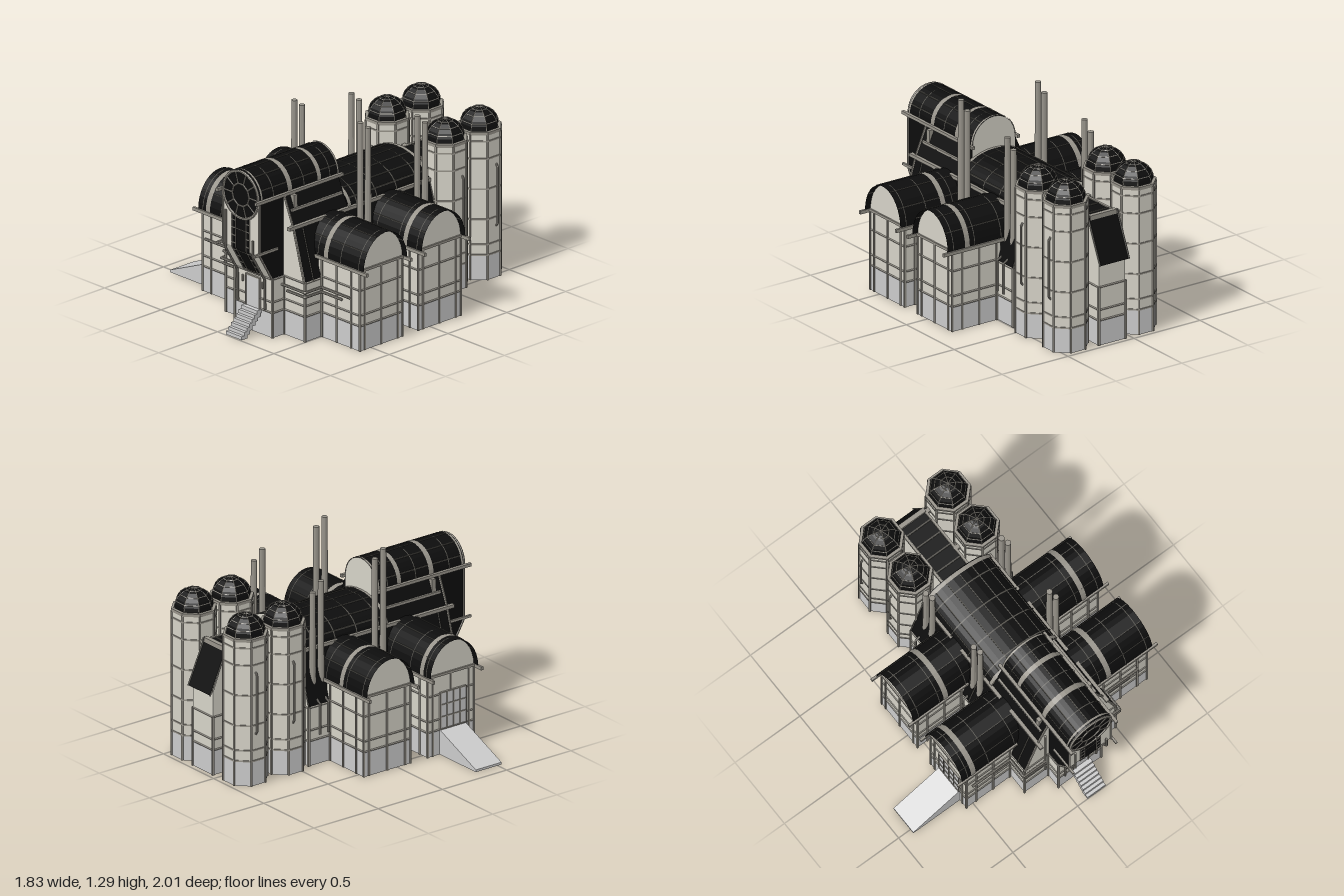
import * as THREE from 'three';

const mat = (color) => new THREE.MeshStandardMaterial({ color, side: THREE.DoubleSide, flatShading: true });

export function createModel() {
  const model = new THREE.Group();
  const root = new THREE.Group();
  root.name = 'factory';
  root.position.x = 0.145;
  model.add(root);
  const base = mat(0xcccccc), wall = mat(0xd6d3c8), trim = mat(0x97938a), black = mat(0x0d0d0d), seam = mat(0x55534d);
  const SIDES = [-1, 1];

  // ---- helpers ----
  const add = (name, geo, m, x = 0, y = 0, z = 0, parent = root) => {
    const o = new THREE.Mesh(geo, m);
    o.name = name;
    o.position.set(x, y, z);
    parent.add(o);
    return o;
  };
  const box = (name, w, h, d, x, y, z, m = trim) => add(name, new THREE.BoxGeometry(w, h, d), m, x, y, z);
  // ribbon of quads between two lines of [x, y, z] points
  const sheet = (name, a, b, m) => {
    const p = [];
    for (let i = 0; i < a.length - 1; i++) p.push(...a[i], ...a[i + 1], ...b[i + 1], ...a[i], ...b[i + 1], ...b[i]);
    const g = new THREE.BufferGeometry();
    g.setAttribute('position', new THREE.Float32BufferAttribute(p, 3));
    g.computeVertexNormals();
    return add(name, g, m);
  };
  const alongZ = (name, path, z0, z1, m) => sheet(name, path.map(([x, y]) => [x, y, z0]), path.map(([x, y]) => [x, y, z1]), m);
  const alongX = (name, path, x0, x1, m) => sheet(name, path.map(([z, y]) => [x0, y, z]), path.map(([z, y]) => [x1, y, z]), m);
  const upright = (name, plan, y0, y1, m) => sheet(name, plan.map(([x, z]) => [x, y0, z]), plan.map(([x, z]) => [x, y1, z]), m);
  const gable = (name, path, y, z, m) => sheet(name, path.map(([x]) => [x, y, z]), path.map(([x, h]) => [x, h, z]), m);
  const arc = (half, rise, y0, c = 0, n = 16) => Array.from({ length: n + 1 }, (_, i) => {
    const t = Math.PI * (1 - i / n);
    return [c + half * Math.cos(t), y0 + rise * Math.sin(t)];
  });
  // round bar through points, with ball joints at bends
  const pipe = (name, pts, r, m = trim, sides = 8) => {
    const v = pts.map((p) => new THREE.Vector3(...p));
    for (let i = 0; i < v.length - 1; i++) {
      const d = v[i + 1].clone().sub(v[i]);
      const o = add(name, new THREE.CylinderGeometry(r, r, d.length(), sides), m);
      o.position.copy(v[i]).addScaledVector(d, 0.5);
      o.quaternion.setFromUnitVectors(new THREE.Vector3(0, 1, 0), d.normalize());
      if (i) add(name + 'Bend', new THREE.SphereGeometry(r, sides, 6), m, ...pts[i]);
    }
  };

  // ---- central block ----
  const half = [[0.1, -0.97], [0.1, -0.42], [0.35, -0.42], [0.35, 0.73], [0.165, 0.73], [0.165, 0.83]];
  const plan = [...half, ...half.map(([x, z]) => [-x, z]).reverse(), half[0]];
  upright('foundation', plan, 0, 0.165, base);
  upright('centralWall', plan, 0.165, 0.39, wall);
  for (const y of [0.165, 0.235, 0.385]) {
    const o = plan.map(([x, z]) => [x, y, z]);
    pipe('wallBand', o, 0.006, trim, 4);
  }
  for (const [x, z] of plan.slice(1)) box('cornerPost', 0.014, 0.39, 0.014, x, 0.195, z);
  for (const s of SIDES) {
    alongZ('slopedRoof', [[s * 0.35, 0.39], [s * 0.25, 0.73]], -0.42, 0.73, black);
    alongZ('upperSlope', [[s * 0.25, 0.73], [s * 0.165, 0.92]], 0.27, 0.73, black);
    pipe('gableEdge', [[s * 0.35, 0.38, 0.735], [s * 0.25, 0.73, 0.735], [s * 0.17, 0.92, 0.735]], 0.008, trim, 6);
    box('eavesBeam', 0.025, 0.022, 1.2, s * 0.255, 0.73, 0.18);
    box('upperBeam', 0.015, 0.015, 0.43, s * 0.21, 0.825, 0.5);
    for (const z of [-0.42, 0.165, 0.66])
      pipe('slopeRib', [[s * 0.352, 0.39, z], [s * 0.252, 0.73, z]], 0.005, seam, 4);
  }
  const hallArc = arc(0.25, 0.15, 0.73);
  const shoulders = [[-0.35, 0.39], [-0.25, 0.73], [-0.165, 0.92], [0.165, 0.92], [0.25, 0.73], [0.35, 0.39]];
  gable('frontGable', shoulders, 0.39, 0.73, wall);
  gable('rearGable', [[-0.35, 0.39], ...hallArc, [0.35, 0.39]], 0.39, -0.42, wall);
  gable('shoulderBack', shoulders.slice(1, -1), 0.73, 0.27, black);

  // ---- barrel roof of the hall ----
  alongZ('hallRoof', hallArc, -0.42, 0.27, black);
  for (const z of [-0.4, -0.31, -0.14, 0.03, 0.2, 0.26]) {
    const w = z === -0.4 || z === 0.26 ? 0.025 : 0.008;
    alongZ('hallRib', arc(0.256, 0.156, 0.73), z - w / 2, z + w / 2, w > 0.02 ? trim : seam);
  }
  for (let i = 2; i < 16; i += 2) box('hallPurlin', 0.006, 0.008, 0.68, hallArc[i][0], hallArc[i][1], -0.075, seam);

  // ---- front nose ----
  const face = [[0.83, 0.39], [0.935, 0.57], [0.935, 0.93]];
  alongX('noseFront', face, -0.16, 0.16, wall);
  const noseArc = arc(0.16, 0.16, 0.93);
  alongZ('noseRoof', noseArc, 0.265, 0.935, black);
  gable('noseBack', noseArc, 0.73, 0.265, wall);
  for (const s of SIDES) {
    const low = [[0.27, 0.73], [0.72, 0.39], [0.83, 0.39], [0.935, 0.57]];
    sheet('noseSide', low.map(([z, y]) => [s * 0.16, y, z]), low.map(([z]) => [s * 0.16, 0.93, z]), black);
    box('noseRail', 0.02, 0.02, 0.74, s * 0.172, 0.925, 0.61);
    box('noseLowRail', 0.014, 0.016, 0.2, s * 0.165, 0.58, 0.885);
    box('noseLamp', 0.03, 0.09, 0.03, s * 0.19, 0.87, 0.67);
    pipe('noseEdge', [[s * 0.16, 0.39, 0.832], [s * 0.16, 0.57, 0.937], [s * 0.16, 0.93, 0.937]], 0.007, trim, 6);
  }
  for (const [z, w] of [[0.92, 0.012], [0.82, 0.006], [0.68, 0.035], [0.56, 0.006], [0.43, 0.03], [0.34, 0.006], [0.27, 0.012]])
    alongZ('noseRib', arc(0.165, 0.165, 0.93), z - w / 2, z + w / 2, w > 0.01 ? trim : seam);
  for (const i of [2, 5, 8, 11, 14]) box('nosePurlin', 0.006, 0.006, 0.66, ...noseArc[i], 0.6, seam);

  // ---- round window and tall glazing ----
  add('roundWindow', new THREE.CircleGeometry(0.16, 32), black, 0, 0.93, 0.94);
  add('windowRim', new THREE.TorusGeometry(0.154, 0.009, 6, 32), trim, 0, 0.93, 0.94);
  add('windowHub', new THREE.TorusGeometry(0.075, 0.006, 6, 10), trim, 0, 0.93, 0.942);
  for (let i = 0; i < 10; i++) {
    const c = Math.cos(i * Math.PI / 5), s = Math.sin(i * Math.PI / 5);
    pipe('windowSpoke', [[c * 0.075, 0.93 + s * 0.075, 0.942], [c * 0.154, 0.93 + s * 0.154, 0.942]], 0.005, trim, 5);
  }
  const glass = [[0.836, 0.39], [0.941, 0.57], [0.941, 0.8]];
  alongX('tallGlazing', glass, -0.075, 0.075, black);
  for (const x of [-0.077, -0.045, 0.045, 0.077]) pipe('mullion', glass.map(([z, y]) => [x, y, z]), 0.004, trim, 4);
  for (let i = 0; i < 8; i++) {
    const y = 0.4 + i * 0.05, z = y < 0.57 ? 0.836 + (y - 0.39) * 0.583 : 0.941;
    for (const s of SIDES) box('glazingBar', 0.032, 0.006, 0.008, s * 0.061, y, z);
    if (i % 3 === 0) box('glazingBar', 0.09, 0.005, 0.006, 0, y, z, seam);
  }

  // ---- entrance ----
  box('door', 0.11, 0.2, 0.012, 0, 0.26, 0.834, base);
  for (const s of SIDES) {
    box('doorFrame', 0.008, 0.21, 0.018, s * 0.058, 0.265, 0.835);
    add('wallLamp', new THREE.CapsuleGeometry(0.008, 0.03, 4, 8), trim, s * 0.088, 0.33, 0.84);
  }
  box('doorLintel', 0.124, 0.008, 0.018, 0, 0.366, 0.835);
  for (let i = 0; i < 7; i++) box('step', 0.14, 0.023, 0.05, 0, 0.152 - i * 0.0225, 0.845 + i * 0.0217, base);

  // ---- wings ----
  for (const s of SIDES) for (const [c, band] of [[0.415, s < 0 ? 0.645 : 0.4], [-0.08, s < 0 ? 0.48 : 0.585]]) {
    const p = [[s * 0.33, c - 0.18], [s * 0.695, c - 0.18], [s * 0.695, c + 0.18], [s * 0.33, c + 0.18]];
    upright('wingFoundation', p, 0, 0.165, base);
    upright('wingWall', p, 0.165, 0.53, wall);
    const end = arc(0.18, 0.215, 0.53, c);
    sheet('wingArchWall', end.map(([z]) => [s * 0.695, 0.53, z]), end.map(([z, y]) => [s * 0.695, y, z]), wall);
    const roof = arc(0.185, 0.22, 0.53, c);
    alongX('wingRoof', roof, s * 0.22, s * 0.733, black);
    const bigger = arc(0.188, 0.224, 0.53, c);
    for (const [x, w] of [[band, 0.035], [0.33, 0.005], [0.53, 0.005], [0.69, 0.005]])
      alongX('wingRoofBand', bigger, s * (x - w / 2), s * (x + w / 2), w > 0.02 ? trim : seam);
    for (const i of [3, 6, 10, 13]) box('wingPurlin', 0.48, 0.005, 0.005, s * 0.49, roof[i][1], roof[i][0], seam);
    // bands, posts and gutter beams
    for (const y of [0.165, 0.235, 0.4]) pipe('wingBand', p.map(([x, z]) => [x, y, z]), 0.006, trim, 4);
    box('archSill', 0.016, 0.016, 0.36, s * 0.697, 0.53, c);
    for (const z of [-0.18, -0.14, 0, 0.14, 0.18]) box('endPost', 0.012, 0.53, 0.012, s * 0.695, 0.265, c + z);
    for (const t of SIDES) {
      box('gutterBeam', 0.46, 0.022, 0.016, s * 0.54, 0.525, c + t * 0.188);
      for (const x of [0.36, 0.49, 0.62]) box('sidePost', 0.012, 0.53, 0.012, s * x, 0.265, c + t * 0.18);
    }
  }

  // ---- loading ramp and gate on the right wing ----
  const ramp = new THREE.Shape([[-1.055, 0], [-0.695, 0], [-0.695, 0.165], [-1.055, 0.015]].map((q) => new THREE.Vector2(...q)));
  add('ramp', new THREE.ExtrudeGeometry(ramp, { depth: 0.2, bevelEnabled: false }), base, 0, 0, 0.33);
  box('gate', 0.012, 0.24, 0.2, -0.698, 0.29, 0.43, base);
  for (let i = 0; i < 5; i++) box('gateBar', 0.018, 0.24, 0.007, -0.7, 0.29, 0.33 + i * 0.05);
  for (let i = 0; i < 4; i++) box('gateBar', 0.018, 0.007, 0.2, -0.7, 0.17 + i * 0.08, 0.43);

  // ---- chimneys ----
  for (const s of SIDES) for (const [z, top] of [[0.205, 1.29], [0.14, 1.24], [-0.28, 1.2], [-0.345, 1.14]]) {
    const h = (s < 0 ? top - 0.02 : top) - 0.47;
    add('chimney', new THREE.CylinderGeometry(0.019, 0.022, h, 12), trim, s * 0.292, 0.47 + h / 2, z);
    add('chimneyFoot', new THREE.CylinderGeometry(0.022, 0.008, 0.03, 12), trim, s * 0.292, 0.455, z);
    pipe('chimneyPipe', [[s * 0.292, 0.45, z], [s * 0.37, 0.4, z], [s * 0.37, 0.2, z]], 0.007);
  }

  // ---- rear spine ----
  const top = [[-0.97, 0.55], [-0.87, 0.8], [-0.4, 0.8]];
  for (const s of SIDES) {
    sheet('spineSide', top.map(([z]) => [s * 0.1, 0.39, z]), top.map(([z, y]) => [s * 0.1, y, z]), wall);
    box('spineRail', 0.016, 0.02, 0.47, s * 0.1, 0.805, -0.635);
    for (const z of [-0.56, -0.86]) box('siloLink', 0.08, 0.03, 0.03, s * 0.13, 0.8, z);
    pipe('rearSlopeEdge', [[s * 0.11, 0.535, -1], [s * 0.11, 0.825, -0.87]], 0.006, seam, 4);
  }
  alongX('spineBack', [[-0.97, 0.39], [-0.97, 0.56]], -0.1, 0.1, wall);
  alongX('spineRoof', [[-0.4, 0.81], [-0.87, 0.81]], -0.09, 0.09, black);
  alongX('rearSlope', [[-0.87, 0.825], [-0.995, 0.535]], -0.11, 0.11, black);
  for (const z of [-0.5, -0.6, -0.7, -0.8]) box('spineRib', 0.19, 0.008, 0.01, 0, 0.812, z, seam);
  box('spineRidge', 0.2, 0.03, 0.03, 0, 0.815, -0.87);

  // ---- domed silos ----
  const R = 0.13 / Math.cos(Math.PI / 8);
  for (const s of SIDES) for (const z of [-0.55, -0.84]) {
    const silo = new THREE.Group();
    silo.name = 'silo';
    silo.position.set(s * 0.257, 0, z);
    silo.rotation.y = Math.PI / 8;
    root.add(silo);
    const drum = (name, r, y0, y1, m, open = true) =>
      add(name, new THREE.CylinderGeometry(r, r, y1 - y0, 8, 1, open), m, 0, (y0 + y1) / 2, 0, silo);
    drum('siloFoundation', R, 0, 0.165, base);
    drum('siloBody', R, 0.165, 0.96, wall);
    for (const y of [0.165, 0.235, 0.4, 0.6, 0.8, 0.915]) drum('siloBand', R + 0.005, y - 0.005, y + 0.005, trim, false);
    drum('siloCollar', R + 0.004, 0.955, 0.975, trim, false);
    add('siloDome', new THREE.SphereGeometry(0.125, 8, 6, 0, Math.PI * 2, 0, Math.PI / 2), black, 0, 0.97, 0, silo);
    for (const t of [0.25, 0.5, 0.75]) {
      const a = t * Math.PI / 2;
      add('domeRing', new THREE.TorusGeometry(0.126 * Math.cos(a), 0.003, 4, 8), trim, 0, 0.97 + 0.126 * Math.sin(a), 0, silo).rotation.x = Math.PI / 2;
    }
    for (let i = 0; i < 8; i++) {
      const a = i * Math.PI / 4;
      add('siloPost', new THREE.BoxGeometry(0.012, 0.96, 0.012), trim, R * Math.cos(a), 0.48, R * Math.sin(a), silo).rotation.y = -a;
      if (i < 4) add('domeRib', new THREE.TorusGeometry(0.126, 0.003, 4, 12, Math.PI), trim, 0, 0.97, 0, silo).rotation.y = a;
    }
    pipe('siloPipe', [[s * 0.385, 0.75, z - 0.02], [s * 0.4, 0.73, z - 0.02], [s * 0.4, 0.36, z - 0.02], [s * 0.385, 0.34, z - 0.02]], 0.007);
  }

  // ---- pipework on the front ----
  pipe('frontPipe', [[-0.2, 0.78, 0.745], [-0.2, 0.2, 0.745]], 0.008);
  pipe('frontPipe', [[-0.125, 0.8, 0.95], [-0.125, 0.55, 0.95], [-0.125, 0.38, 0.85], [-0.125, 0.18, 0.845]], 0.008);
  pipe('frontPipe', [[0.115, 0.66, 0.95], [0.115, 0.55, 0.95], [0.115, 0.38, 0.85], [0.115, 0.18, 0.845]], 0.008);
  pipe('wingPipe', [[-0.66, 0.355, 0.61], [-0.37, 0.355, 0.61], [-0.37, 0.355, 0.75], [-0.2, 0.355, 0.75]], 0.009);
  pipe('wingPipe', [[-0.5, 0.325, 0.61], [-0.36, 0.325, 0.61], [-0.36, 0.325, 0.75], [-0.2, 0.325, 0.75]], 0.009);
  pipe('wingPipe', [[0.12, 0.335, 0.75], [0.37, 0.335, 0.75], [0.37, 0.335, 0.61], [0.62, 0.335, 0.61]], 0.009);
  pipe('wingPipe', [[0.21, 0.305, 0.75], [0.37, 0.305, 0.75], [0.37, 0.305, 0.61], [0.55, 0.305, 0.61]], 0.009);
  return model;
}
